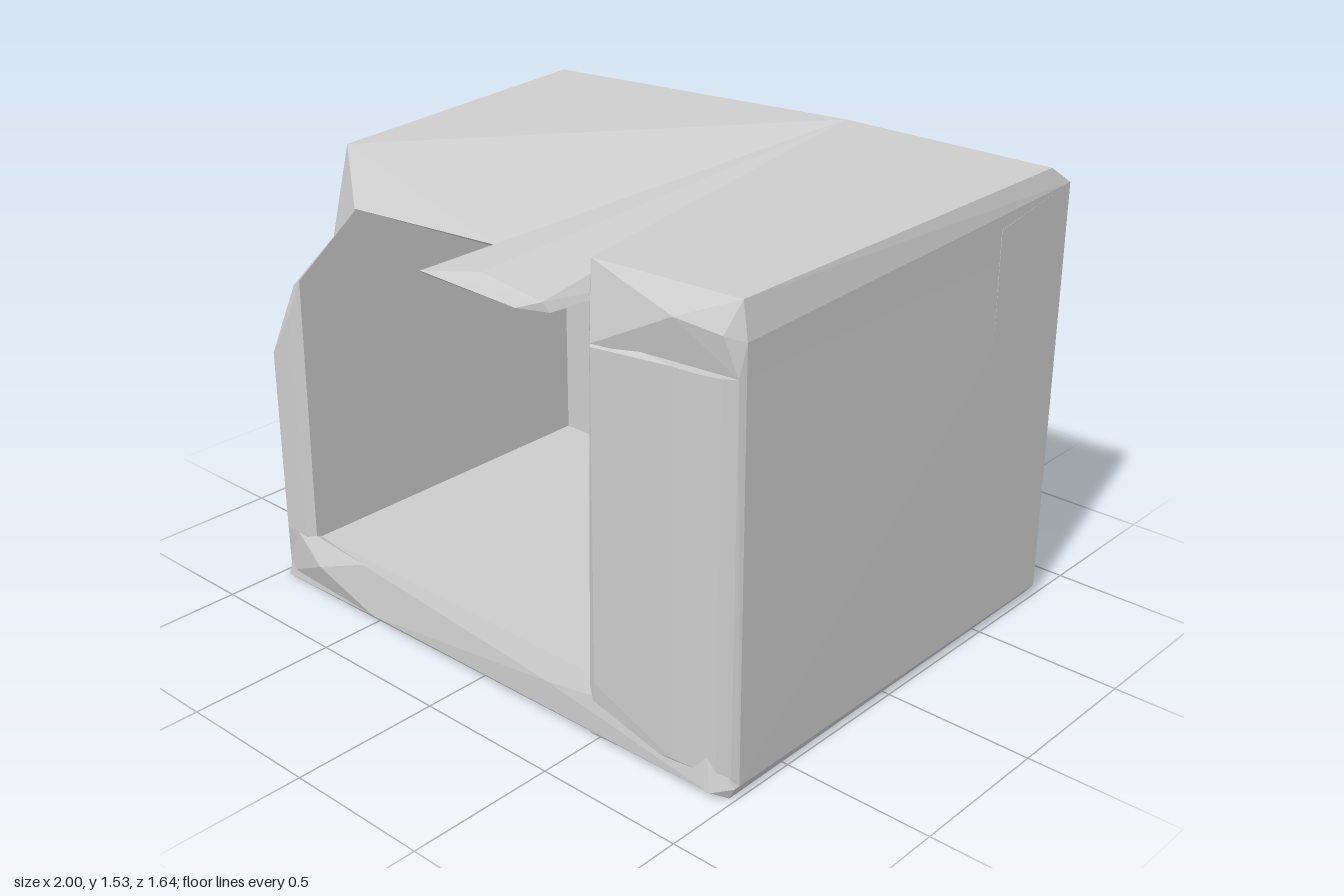
import * as THREE from 'three';
import { ConvexGeometry } from 'three/addons/geometries/ConvexGeometry.js';

const stone = new THREE.MeshStandardMaterial({ color: 0xcccccc });
stone.name = 'pale grey';

export function createModel() {
  const model = new THREE.Group();
  model.name = 'brokenHollowBlock';

  // every part is a chipped convex lump
  const lump = (name, ...pts) => {
    const mesh = new THREE.Mesh(new ConvexGeometry(pts.map(p => new THREE.Vector3(...p))), stone);
    mesh.name = name;
    model.add(mesh);
  };

  // shared corners
  const peak = [0.22, 1.53, -0.71];
  const leftBack = [-0.99, 1.5, -0.62], leftFront = [-0.98, 1.45, 0.4];
  const backTop = [-0.84, 1.35, -0.82], backRight = [1, 1.46, -0.82];
  const footRight = [1, 0.04, -0.82], dent = [0.73, 0.7, -0.73];

  // floor slab with bevelled right edge and rough front lip
  lump('floor',
    [-0.96, 0, -0.82], [0.97, 0, -0.8], [0.98, 0, 0.74], [-0.97, 0, 0.78],
    [1, 0.04, -0.8], [1, 0.04, 0.74], [0.95, 0.03, 0.79], [-0.5, 0.02, 0.79],
    [-0.94, 0.2, -0.8], [0.95, 0.2, -0.8], [0.9, 0.2, 0.76], [-0.9, 0.2, 0.76], [0.3, 0.12, 0.79]);
  lump('frontLipChip',
    [-0.97, 0.01, 0.77], [-0.74, 0.13, 0.82], [-0.93, 0.22, 0.78], [-0.52, 0.02, 0.79],
    [-0.56, 0.19, 0.78], [-0.8, 0.2, 0.76], [-0.8, 0.01, 0.74]);

  // right pillar with rounded front edge
  const pillar = [
    [0.46, 0, -0.5], [0.46, 1.3, -0.5], [0.46, 0, 0.77], [0.46, 1.3, 0.75], [0.5, 0.2, 0.79], [0.5, 1.27, 0.79],
    [0.97, 0, -0.7], [0.98, 0, 0.74], [1, 0.04, -0.8], [1, 1.3, -0.8], [1, 0.04, 0.72], [0.995, 1.3, 0.72]];
  for (const [x, z] of [[0.8, 0.79], [0.88, 0.783], [0.95, 0.765], [0.985, 0.74]])
    pillar.push([x, 0.08, z], [x, 1.3, z]);
  lump('rightPillar', ...pillar);

  // top of the pillar, overhanging the cavity beside the crack
  lump('rightRoof', peak,
    [0.45, 1.5, 0.73], [0.97, 1.51, 0.71], [0.98, 1.52, -0.74], backRight,
    [0.46, 1.3, 0.75], [0.5, 1.28, 0.79], [0.8, 1.44, 0.79], [0.95, 1.42, 0.765], [0.985, 1.3, 0.74],
    [0.995, 1.4, 0.72], [0.34, 1.3, 0.33], [0.22, 1.3, -0.6], [1, 1.3, -0.8], [0.995, 1.3, 0.72]);

  // back wall: large leaning face and two facets around the dent
  lump('backWallMain', peak, backTop, [-0.96, 0, -0.82], [-0.88, 0.9, -0.82], footRight, [0.97, 0, -0.81],
    [-0.9, 0, -0.42], [0.9, 0, -0.42], [-0.9, 1.3, -0.42], [0.22, 1.35, -0.42], [0.46, 1.1, -0.42]);
  lump('backWallUpper', peak, backRight, dent, [0.1, 1.3, -0.42], [0.95, 1.4, -0.42], [0.6, 0.6, -0.42]);
  lump('backWallSide', backRight, footRight, dent, [1, 1.4, -0.45], [1, 0.04, -0.45], [0.6, 0.6, -0.42], [0.5, 1.3, -0.42]);

  // left wall with chipped back corner
  lump('leftWall', leftBack, leftFront, backTop,
    [-0.96, 0, -0.82], [-1, 0, -0.77], [-1, 1.3, -0.7], [-0.97, 1.38, -0.77], [-0.88, 0.9, -0.82],
    [-1, 0, 0.5], [-1, 1.02, 0.5], [-0.8, 0, 0.5], [-0.8, 1.3, 0.53], [-0.8, 1.3, -0.7], [-0.8, 0, -0.7]);

  // broken front end of the left wall
  lump('leftWallFront',
    [-1, 0, 0.45], [-0.8, 0, 0.45], [-1, 1.03, 0.48], [-0.8, 1.3, 0.52], [-0.8, 1.12, 0.77], [-0.87, 1.08, 0.74],
    [-0.98, 0, 0.76], [-1, 0.15, 0.72], [-1, 0.82, 0.72], [-0.97, 0.9, 0.68], [-0.8, 0.1, 0.78],
    [-0.94, 0.2, 0.79], [-0.94, 0.84, 0.79], [-0.84, 0.2, 0.79], [-0.84, 1.0, 0.79]);

  // left roof, broken off along its front edge
  lump('leftRoof', peak, leftBack, leftFront, backTop, [-0.2, 1.31, 0.48],
    [-0.2, 1.3, 0.47], [-0.8, 1.3, 0.53], [-0.9, 1.3, -0.7], [0.22, 1.3, -0.6]);

  // thin tongue of roof reaching forward next to the crack
  lump('roofTongue', peak, [-0.2, 1.31, 0.48], [-0.2, 1.31, 0.78], [-0.2, 1.3, 0.48], [-0.2, 1.3, 0.77],
    [0.2, 1.3, 0.78], [0.28, 1.33, 0.75], [0.0, 1.34, 0.72], [0.3, 1.3, 0.74], [0.34, 1.3, 0.33], [0.2, 1.3, -0.6]);

  return model;
}
